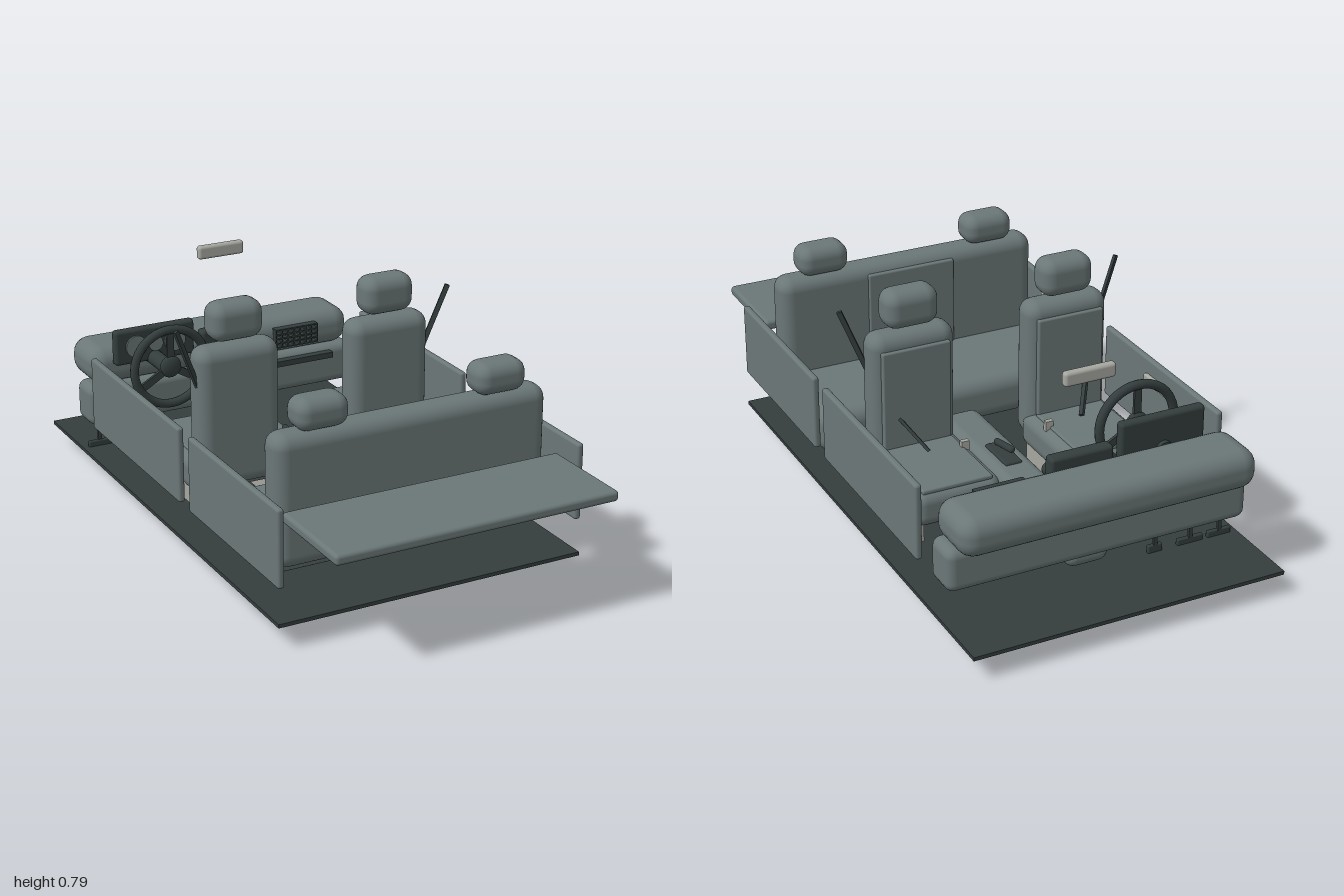
import * as THREE from 'three';
import { RoundedBoxGeometry } from 'three/addons/geometries/RoundedBoxGeometry.js';

const material = (name, color) => {
  const m = new THREE.MeshStandardMaterial({ color });
  m.name = name;
  return m;
};

export function createModel() {
  const root = new THREE.Group();
  root.name = 'carInterior';
  const cloth = material('greyUpholstery', 0x6b7777);
  const dark = material('darkTrim', 0x343d3d);
  const light = material('lightTrim', 0xa8a8a2);

  const add = (name, geometry, mat, x = 0, y = 0, z = 0, parent = root) => {
    const mesh = new THREE.Mesh(geometry, mat);
    mesh.name = name;
    mesh.position.set(x, y, z);
    parent.add(mesh);
    return mesh;
  };
  // Box given by its limits on each axis, rounded when r > 0
  const box = (name, mat, [x0, x1], [y0, y1], [z0, z1], r = 0, parent = root) => {
    const size = [x1 - x0, y1 - y0, z1 - z0];
    const g = r ? new RoundedBoxGeometry(...size, 3, r) : new THREE.BoxGeometry(...size);
    return add(name, g, mat, (x0 + x1) / 2, (y0 + y1) / 2, (z0 + z1) / 2, parent);
  };
  const around = (c, w) => [c - w / 2, c + w / 2];
  // Thin flat strap between two points
  const strap = (name, a, b, parent) => {
    const p = new THREE.Vector3(...a), q = new THREE.Vector3(...b);
    const m = add(name, new THREE.BoxGeometry(0.016, p.distanceTo(q), 0.01), dark, 0, 0, 0, parent);
    m.position.copy(p).add(q).multiplyScalar(0.5);
    m.quaternion.setFromUnitVectors(new THREE.Vector3(0, 1, 0), q.sub(p).normalize());
  };

  // Floor, tunnel and rear shelf
  box('floor', dark, [-0.515, 0.515], [0.073, 0.085], [-1, 0.74]);
  box('centreTunnel', cloth, [-0.073, 0.073], [0.095, 0.2], [-0.735, 0.17], 0.035);
  box('rearShelf', cloth, [-0.47, 0.465], [0.368, 0.402], [0.67, 1], 0.012);

  // Dashboard
  box('dashTop', cloth, [-0.49, 0.49], [0.31, 0.44], [-0.885, -0.68], 0.055);
  box('dashLower', cloth, [-0.5, 0.5], [0.17, 0.312], [-0.805, -0.68], 0.03);
  box('instrumentCluster', dark, [-0.42, -0.13], [0.39, 0.512], [-0.675, -0.64], 0.012);
  for (const [x, r] of [[-0.345, 0.038], [-0.205, 0.038], [-0.275, 0.026]]) {
    const gauge = add('gauge', new THREE.CylinderGeometry(r, r, 0.008, 24), cloth, x, 0.452, -0.637);
    gauge.rotation.x = Math.PI / 2;
  }
  box('centrePanel', dark, [-0.1, 0.11], [0.32, 0.46], [-0.69, -0.645], 0.012);
  box('radio', cloth, [-0.07, 0.08], [0.355, 0.395], [-0.646, -0.641]);
  box('gloveBoxTrim', dark, [0.15, 0.41], [0.275, 0.295], [-0.69, -0.655]);

  // Passenger air vent: crossing bars
  for (let i = 0; i < 5; i++)
    box('ventSlat', dark, [0.19, 0.35], around(0.345 + i * 0.016, 0.005), [-0.69, -0.66]);
  for (let i = 0; i < 8; i++)
    box('ventBar', dark, around(0.19 + i * 0.16 / 7, 0.005), [0.343, 0.411], [-0.69, -0.66]);

  // Steering wheel and column
  const wheel = new THREE.Group();
  wheel.name = 'steeringWheel';
  wheel.position.set(-0.277, 0.41, -0.515);
  root.add(wheel);
  add('wheelRim', new THREE.TorusGeometry(0.13, 0.015, 10, 36), dark, 0, 0, 0, wheel);
  const hub = add('wheelHub', new THREE.SphereGeometry(0.038, 20, 12), dark, 0, 0, 0, wheel);
  hub.scale.z = 0.45;
  for (let i = 0; i < 3; i++) {
    const a = Math.PI / 2 + i * Math.PI * 2 / 3;
    const spoke = add('wheelSpoke', new THREE.BoxGeometry(0.1, 0.025, 0.01), dark,
      0.08 * Math.cos(a), 0.08 * Math.sin(a), 0, wheel);
    spoke.rotation.z = a;
  }
  const column = add('steeringColumn', new THREE.CylinderGeometry(0.027, 0.027, 0.17, 16), dark, -0.277, 0.4, -0.605);
  column.rotation.x = Math.PI / 2;

  // Pedals
  for (const [x, w, y0, y1] of [[-0.453, 0.083, 0.05, 0.105], [-0.35, 0.09, 0.05, 0.105], [-0.227, 0.05, 0, 0.11]]) {
    box('pedal', dark, around(x, w), [y0, y1], [-0.735, -0.72], 0.005);
    box('pedalArm', dark, around(x, 0.012), [0.09, 0.2], [-0.735, -0.725]);
  }

  // Gear lever and handbrake
  add('gearLever', new THREE.CylinderGeometry(0.007, 0.009, 0.1, 10), dark, 0, 0.24, -0.47);
  add('gearKnob', new THREE.SphereGeometry(0.022, 16, 12), dark, 0, 0.295, -0.47);
  box('handbrakeBase', dark, [-0.03, 0.03], [0.19, 0.208], [-0.245, -0.095], 0.008);
  const brake = box('handbrakeLever', dark, [-0.011, 0.011], [0.222, 0.244], [-0.235, -0.115], 0.01);
  brake.rotation.x = 0.2;

  // Rear-view mirror
  box('rearViewMirror', light, [-0.085, 0.083], [0.699, 0.745], [-0.715, -0.687], 0.01);

  // Rear bench
  box('rearCushion', cloth, [-0.47, 0.47], [0.125, 0.275], [0.18, 0.55], 0.05);
  box('rearBackrest', cloth, [-0.46, 0.46], [0.18, 0.602], [0.515, 0.625], 0.045);
  box('rearBackPanel', cloth, [-0.155, 0.155], [0.22, 0.575], [0.505, 0.53], 0.006);

  for (const s of [-1, 1]) {
    const side = s < 0 ? 'right' : 'left';
    const cx = s * 0.268;

    // Doors with inner handles
    for (const [part, z, hz] of [['front', [-0.625, 0.065], [-0.37, -0.205]], ['rear', [0.135, 0.74], [0.355, 0.495]]]) {
      box(part + 'Door', cloth, around(s * 0.505, 0.022), [0.195, 0.444], z, 0.009);
      box(part + 'DoorHandle', light, around(s * 0.488, 0.016), [0.365, 0.395], hz, 0.006);
    }

    // Front seat
    const seat = new THREE.Group();
    seat.name = side + 'FrontSeat';
    root.add(seat);
    box('seatCushion', cloth, around(cx, 0.295), [0.15, 0.27], [-0.41, -0.04], 0.04, seat);
    box('cushionPanel', cloth, around(cx, 0.235), [0.26, 0.276], [-0.395, -0.1], 0.006, seat);
    box('seatBackrest', cloth, around(cx, 0.285), [0.18, 0.652], [-0.1, 0.008], 0.045, seat);
    box('backrestPanel', cloth, around(cx, 0.23), [0.27, 0.605], [-0.112, -0.09], 0.006, seat);
    box('frontHeadrest', cloth, around(cx, 0.178), [0.662, 0.787], [-0.102, 0.005], 0.042, seat);
    for (const d of [-0.122, 0.122])
      box('seatRail', light, around(cx + d, 0.018), [0.1, 0.17], [-0.39, -0.065], 0, seat);

    // Seat belt and buckle
    strap('shoulderBelt', [s * 0.48, 0.728, -0.01], [s * 0.375, 0.46, -0.035], seat);
    strap('lapBelt', [s * 0.375, 0.44, -0.04], [s * 0.268, 0.285, -0.19], seat);
    box('beltBuckle', light, around(s * 0.148, 0.026), [0.26, 0.295], around(-0.192, 0.016), 0, seat);

    // Rear headrest
    box(side + 'RearHeadrest', cloth, around(s * 0.3, 0.17), [0.598, 0.698], [0.515, 0.627], 0.04);
  }
  return root;
}
